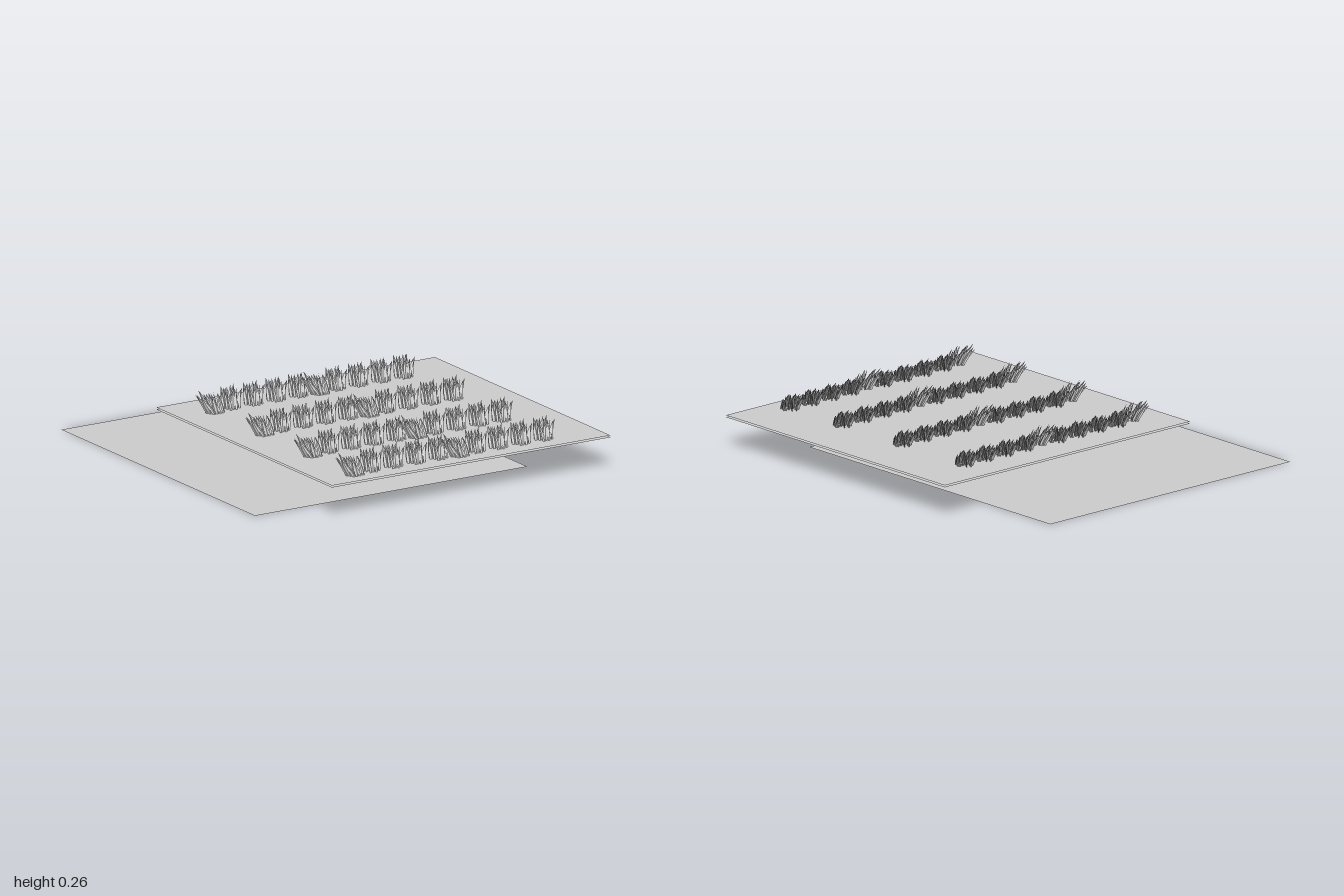
import * as THREE from 'three';
import { mergeGeometries } from 'three/addons/utils/BufferGeometryUtils.js';

// Small seeded generator so every tuft is repeatable
function seeded(seed) {
  let s = seed;
  return () => ((s = (s * 16807) % 2147483647) / 2147483647);
}

// One folded, tapering leaf from a root to a tip, bowed upward
function bladeGeometry(root, tip, width, yaw) {
  const mid = root.clone().lerp(tip, 0.5);
  mid.y += 0.012;
  const curve = new THREE.QuadraticBezierCurve3(root, mid, tip);
  const side = new THREE.Vector3(Math.cos(yaw), 0, Math.sin(yaw));
  const fold = new THREE.Vector3(-side.z, 0, side.x).multiplyScalar(width * 0.3);
  const widths = [0.65, 1, 0.75, 0.02];
  const pos = [], index = [];
  widths.forEach((w, i) => {
    const p = curve.getPoint(i / (widths.length - 1));
    for (const k of [-1, 0, 1]) {
      const v = p.clone().addScaledVector(side, k * w * width / 2);
      if (k === 0) v.addScaledVector(fold, w);
      pos.push(v.x, v.y, v.z);
    }
    if (i === 0) return;
    const b = i * 3;
    for (const j of [0, 1]) {
      const lo = b - 3 + j, hi = b + j;
      index.push(lo, lo + 1, hi + 1, lo, hi + 1, hi);
    }
  });
  const g = new THREE.BufferGeometry();
  g.setAttribute('position', new THREE.Float32BufferAttribute(pos, 3));
  g.setIndex(index);
  const flat = g.toNonIndexed();
  flat.computeVertexNormals();
  return flat;
}

// A clump of blades around the origin, leaning sideways and to the back
function tuftGeometry(seed, leanX, leanZ) {
  const rnd = seeded(seed);
  const blades = [];
  const count = 18;
  for (let i = 0; i < count; i++) {
    const a = i * 2.4;
    const r = Math.sqrt((i + 0.5) / count);
    const rx = Math.cos(a) * r * 0.04, rz = Math.sin(a) * r * 0.05;
    const root = new THREE.Vector3(rx, 0.147 + rnd() * 0.018, rz);
    const height = 0.115 - 0.035 * r * rnd();
    const tip = new THREE.Vector3(
      rx * 1.7 + leanX + (rnd() - 0.5) * 0.03,
      0.15 + height,
      rz + leanZ + (rnd() - 0.5) * 0.04
    );
    blades.push(bladeGeometry(root, tip, 0.017 + rnd() * 0.009, (rnd() - 0.5) * 1.8));
  }
  return mergeGeometries(blades);
}

export function createModel() {
  const model = new THREE.Group();
  const grey = new THREE.MeshStandardMaterial({ color: 0xcccccc, side: THREE.DoubleSide });
  grey.name = 'light grey';

  // Flat ground sheets: x and z limits with height
  const sheet = (name, x0, x1, z0, z1, y) => {
    const g = new THREE.PlaneGeometry(x1 - x0, z1 - z0).rotateX(-Math.PI / 2);
    const mesh = new THREE.Mesh(g, grey);
    mesh.name = name;
    mesh.position.set((x0 + x1) / 2, y, (z0 + z1) / 2);
    model.add(mesh);
  };
  sheet('lowerGround', -0.945, 0.625, -1, 0.75, 0);
  sheet('upperGround', -0.66, 0.945, -0.59, 1, 0.17);
  sheet('upperGroundUnderside', -0.66, 0.945, -0.59, 1, 0.16);

  // Each half row starts with an odd tuft followed by four alike
  const plain = tuftGeometry(71, 0.035, -0.065);
  const odd = tuftGeometry(1234, -0.025, -0.04);
  const tufts = [];
  for (const start of [-0.46, 0.145]) {
    tufts.push(odd.clone().translate(start, 0, 0.02));
    for (let i = 0; i < 4; i++) {
      tufts.push(plain.clone().translate(start + 0.1 + i * 0.13, 0, 0));
    }
  }
  const rowGeometry = mergeGeometries(tufts);

  // Four identical planted rows
  [-0.385, 0.065, 0.5, 0.88].forEach((z, i) => {
    const row = new THREE.Mesh(rowGeometry, grey);
    row.name = `grassRow${i + 1}`;
    row.position.z = z;
    model.add(row);
  });
  return model;
}
